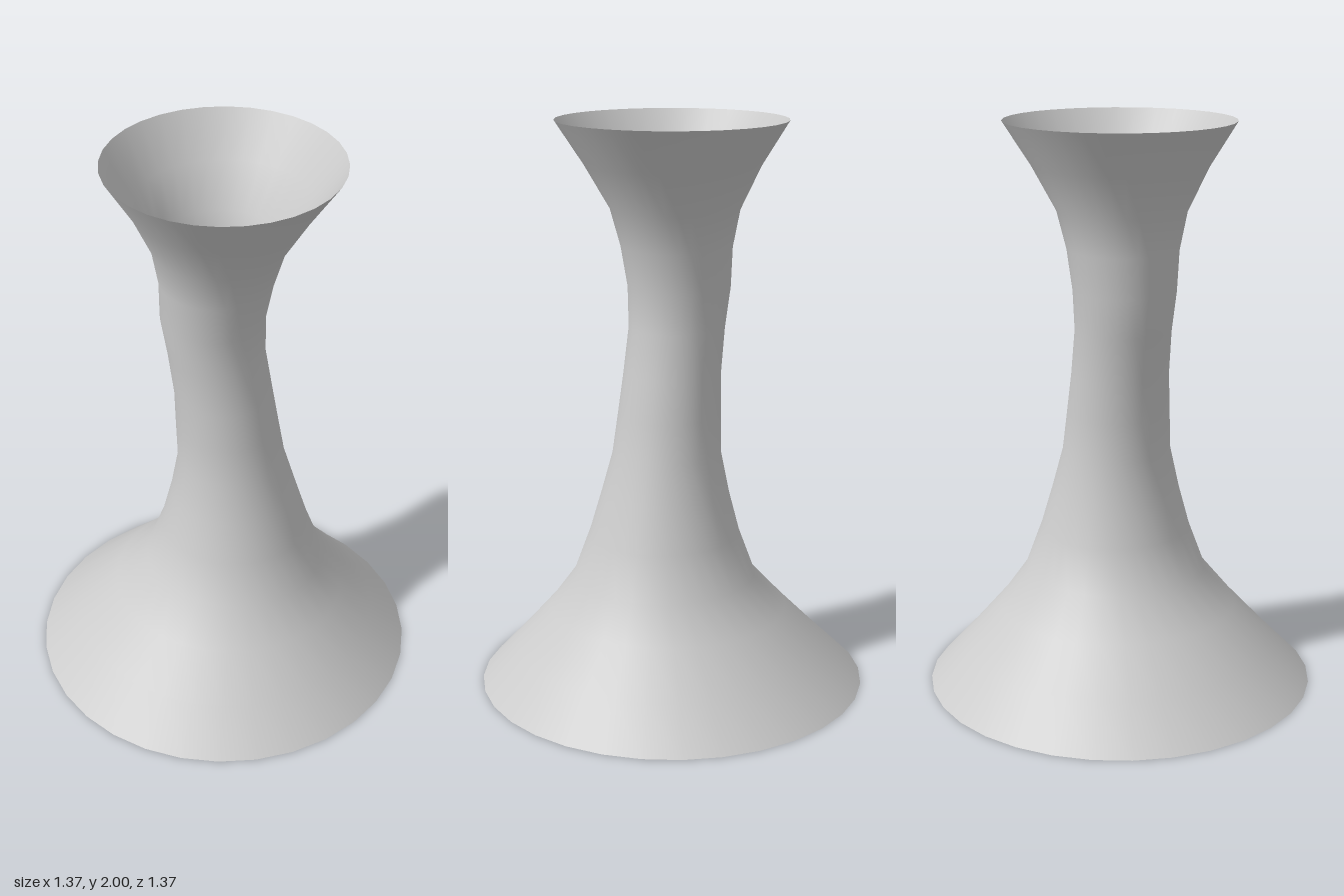
import * as THREE from 'three';
import { mergeVertices } from 'three/addons/utils/BufferGeometryUtils.js';

// Cross-section rings: height, radius, sideways shift of the centre
const RINGS = [
  [0, 0.685, 0], [0.14, 0.55, 0.01], [0.28, 0.422, 0.022],
  [0.405, 0.322, 0.04], [0.56, 0.265, 0.04], [0.7, 0.226, 0.036],
  [0.85, 0.19, 0.027], [0.99, 0.18, 0.012], [1.13, 0.17, -0.002],
  [1.29, 0.167, -0.026], [1.43, 0.178, -0.038], [1.57, 0.192, -0.025],
  [1.7, 0.222, -0.017], [1.85, 0.3, -0.005], [2, 0.395, 0],
];

export function createModel() {
  const profile = RINGS.map(([y, r]) => new THREE.Vector2(r, y));
  const lathe = new THREE.LatheGeometry(profile, 32);

  // Slide each ring sideways to give the neck its gentle S-bend
  const pos = lathe.attributes.position;
  for (let i = 0; i < pos.count; i++) {
    pos.setX(i, pos.getX(i) + RINGS[i % RINGS.length][2]);
  }

  // Weld the seam so the shading runs smoothly all round
  lathe.deleteAttribute('uv');
  lathe.deleteAttribute('normal');
  const geometry = mergeVertices(lathe, 1e-4);
  geometry.computeVertexNormals();

  // Thin shell, open at both ends
  const shell = new THREE.Mesh(geometry, new THREE.MeshStandardMaterial({
    color: 0xcccccc, side: THREE.DoubleSide,
  }));
  shell.name = 'flaredTube';

  const model = new THREE.Group();
  model.name = 'flaredStand';
  model.add(shell);
  return model;
}
